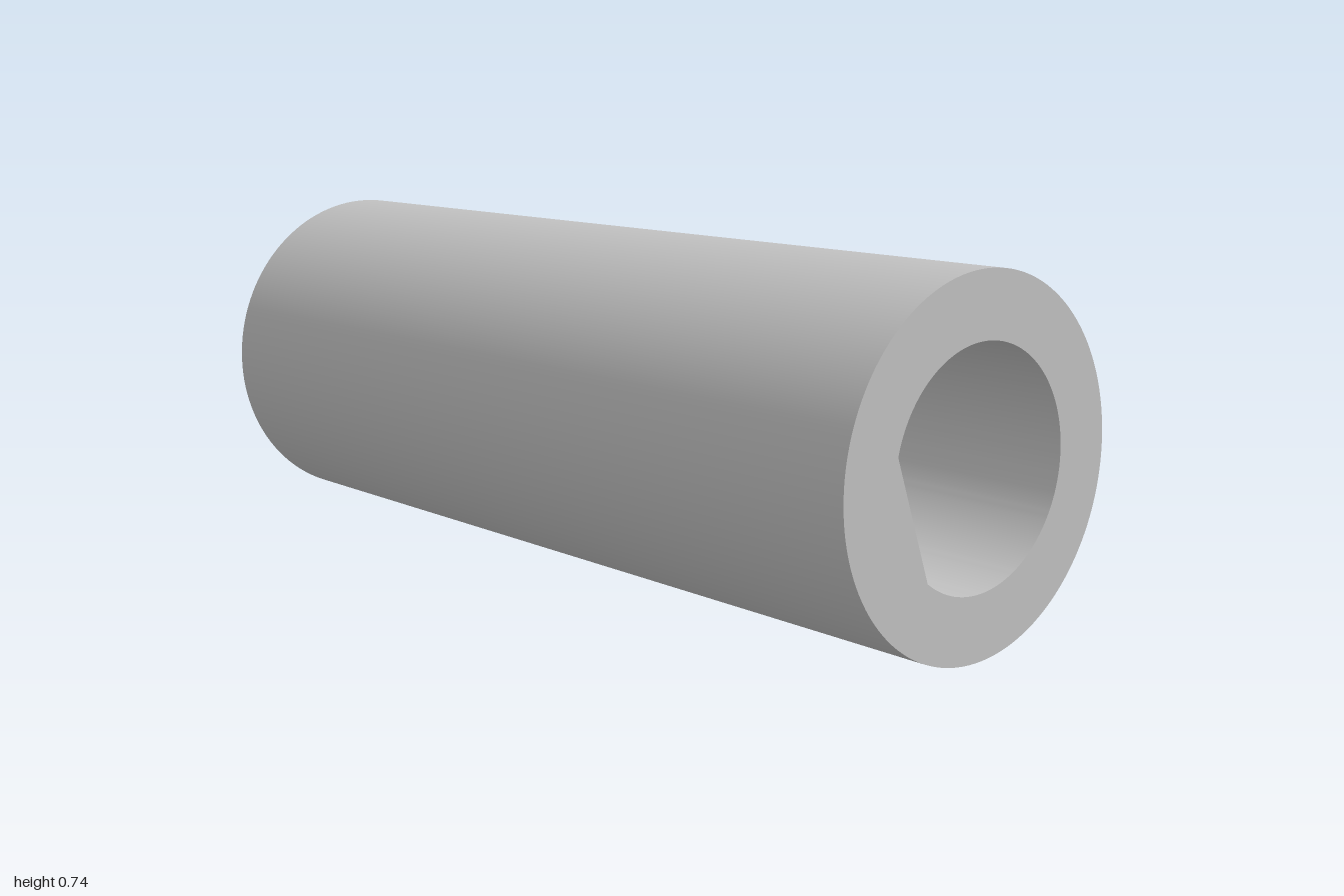
import * as THREE from 'three';
import { toCreasedNormals } from 'three/addons/utils/BufferGeometryUtils.js';

const R = 0.369, BORE = 0.237, FLAT = 0.198, TILT = THREE.MathUtils.degToRad(20);
const SEGMENTS = 128, STEP_X = 0;

// Profiles are drawn in a plane that is turned to face +x
function circle(radius) {
  return Array.from({ length: SEGMENTS }, (_, i) => {
    const a = (i / SEGMENTS) * Math.PI * 2;
    return new THREE.Vector2(radius * Math.cos(a), radius * Math.sin(a));
  });
}

// Round bore with one flat side
function keyedProfile() {
  const half = Math.acos(FLAT / BORE), mid = Math.PI + TILT;
  return Array.from({ length: SEGMENTS + 1 }, (_, i) => {
    const a = mid + half + (i / SEGMENTS) * 2 * (Math.PI - half);
    return new THREE.Vector2(BORE * Math.cos(a), BORE * Math.sin(a));
  });
}

// Tilted plus-shaped socket
function crossProfile() {
  const w = 0.0766, l = 0.187, points = [], origin = new THREE.Vector2();
  for (let k = 0; k < 4; k++) {
    for (const [x, y] of [[l, -w], [l, w], [w, w]]) {
      points.push(new THREE.Vector2(x, y).rotateAround(origin, TILT + k * Math.PI / 2));
    }
  }
  return points;
}

// Flat face with a hole
function plate(outline, hole) {
  const shape = new THREE.Shape(outline);
  shape.holes.push(new THREE.Path(hole));
  return new THREE.ShapeGeometry(shape);
}

// Inward-facing wall between two depths
function holeWall(profile, x0, x1) {
  const pos = [];
  profile.forEach((p, i) => {
    const q = profile[(i + 1) % profile.length];
    pos.push(p.x, p.y, x0, q.x, q.y, x1, q.x, q.y, x0);
    pos.push(p.x, p.y, x0, p.x, p.y, x1, q.x, q.y, x1);
  });
  const geometry = new THREE.BufferGeometry();
  geometry.setAttribute('position', new THREE.Float32BufferAttribute(pos, 3));
  return toCreasedNormals(geometry, Math.PI / 8);
}

export function createModel() {
  const group = new THREE.Group();
  group.name = 'shaftCoupler';
  const material = new THREE.MeshStandardMaterial({ color: 0xc0c0c0 });
  material.name = 'plainGrey';

  const add = (name, geometry) => {
    const mesh = new THREE.Mesh(geometry, material);
    mesh.name = name;
    mesh.position.y = R;
    group.add(mesh);
  };
  const facingX = (geometry) => geometry.rotateY(Math.PI / 2);

  const rim = circle(R), keyed = keyedProfile(), cross = crossProfile();

  // Outer sleeve
  add('outerSleeve', new THREE.CylinderGeometry(R, R, 2, SEGMENTS, 1, true)
    .rotateY(Math.PI / 2).rotateZ(Math.PI / 2));

  // Keyed bore from the left end
  add('keyedEndFace', facingX(plate(rim, keyed).translate(0, 0, 1)));
  add('keyedBore', facingX(holeWall(keyed, STEP_X, 1)));

  // Inner step where the bore meets the socket
  add('innerStep', facingX(plate(keyed, cross).translate(0, 0, STEP_X)));

  // Cross socket from the right end; mirrored outlines make the cap face outward
  add('crossSocket', facingX(holeWall(cross, -1, STEP_X)));
  const mirror = (points) => points.map((p) => new THREE.Vector2(-p.x, p.y));
  add('crossEndFace', plate(mirror(rim), mirror(cross))
    .translate(0, 0, 1).rotateY(-Math.PI / 2));

  return group;
}
